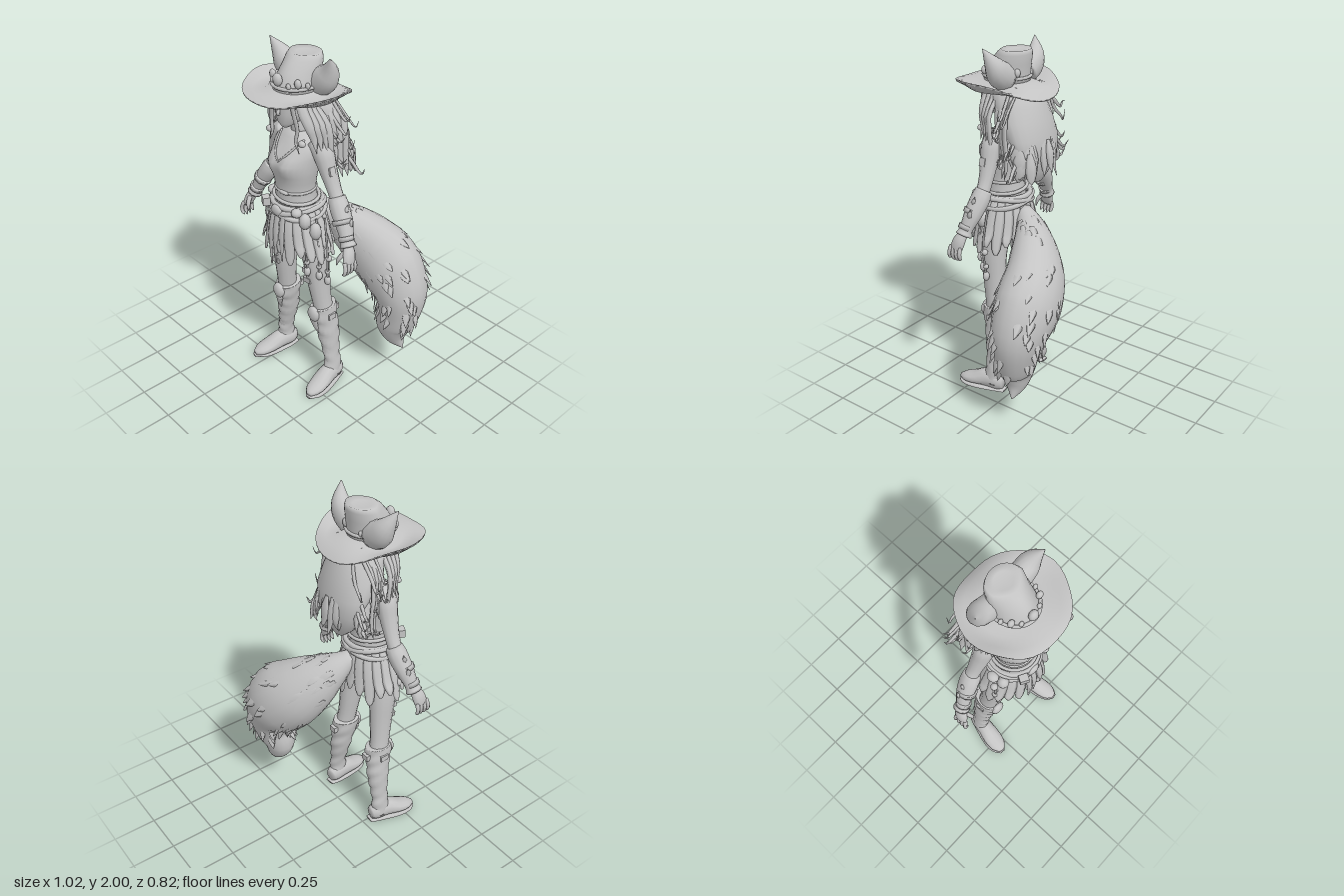
import * as THREE from 'three';
import { mergeGeometries } from 'three/addons/utils/BufferGeometryUtils.js';

const V = (x, y, z) => new THREE.Vector3(x, y, z);
const CX = -0.065; // body mid-line

export function createModel() {
  const root = new THREE.Group();
  const grey = new THREE.MeshStandardMaterial({ color: 0xc4c4c4, side: THREE.DoubleSide });
  grey.name = 'plain grey';
  let seed = 11;
  const rnd = (a = 0, b = 1) => {
    seed = (seed * 16807) % 2147483647;
    return a + (b - a) * (seed / 2147483647);
  };
  const add = (name, geos) => {
    const list = [].concat(geos).map((g) => { const c = g.index ? g.toNonIndexed() : g; c.deleteAttribute('uv'); return c; });
    const m = new THREE.Mesh(mergeGeometries(list), grey);
    m.name = name;
    root.add(m);
  };

  // skin a stack of closed rings, with end caps if wanted
  const skin = (rings, caps = true) => {
    const n = rings[0].length, pos = [], idx = [];
    rings.forEach((r) => r.forEach((p) => pos.push(p.x, p.y, p.z)));
    for (let i = 0; i < rings.length - 1; i++) for (let j = 0; j < n; j++) {
      const a = i * n + j, b = i * n + (j + 1) % n;
      idx.push(a, a + n, b, b, a + n, b + n);
    }
    if (caps) [0, rings.length - 1].forEach((k) => {
      const c = rings[k].reduce((s, p) => s.add(p), V(0, 0, 0)).divideScalar(n), ci = pos.length / 3;
      pos.push(c.x, c.y, c.z);
      for (let j = 0; j < n; j++) {
        const a = k * n + j, b = k * n + (j + 1) % n;
        if (k) idx.push(a, ci, b); else idx.push(a, b, ci);
      }
    });
    const g = new THREE.BufferGeometry();
    g.setAttribute('position', new THREE.Float32BufferAttribute(pos, 3));
    g.setIndex(idx);
    g.computeVertexNormals();
    return g;
  };
  // frames along a path; rows are [x, y, z, width radius, depth radius]
  const frames = (rows, n, ref) => {
    const path = new THREE.CatmullRomCurve3(rows.map((r) => V(r[0], r[1], r[2])));
    const rad = new THREE.CatmullRomCurve3(rows.map((r) => V(r[3], r[4] ?? r[3], 0)), false, 'catmullrom');
    return Array.from({ length: n + 1 }, (_, i) => {
      const p = path.getPoint(i / n), T = path.getTangent(i / n), r = rad.getPoint(i / n);
      const N = ref.clone().cross(T).normalize(), B = N.clone().cross(T);
      const at = (a, k = 1) => p.clone().addScaledVector(N, Math.cos(a) * Math.max(r.x, 0.001) * k)
        .addScaledVector(B, Math.sin(a) * Math.max(r.y, 0.001) * k);
      return { p, T, at };
    });
  };
  const tube = (rows, { n = 10, sides = 10, ref = V(0, 0, 1) } = {}) =>
    skin(frames(rows, n, ref).map((f) => Array.from({ length: sides }, (_, j) => f.at(j / sides * Math.PI * 2))));
  // upright loft; rows are [y, z, x radius, z radius] from the bottom up
  const loft = (rows, sides = 20) => skin(rows.map(([y, z, rx, rz]) =>
    Array.from({ length: sides }, (_, j) => {
      const a = j / sides * Math.PI * 2;
      return V(CX + Math.cos(a) * rx, y, z + Math.sin(a) * rz);
    })));
  // move the vertices of a geometry by a rule
  const warp = (g, rule) => {
    const p = g.attributes.position, v = V(0, 0, 0);
    for (let i = 0; i < p.count; i++) { v.fromBufferAttribute(p, i); rule(v); p.setXYZ(i, v.x, v.y, v.z); }
    g.computeVertexNormals();
    return g;
  };
  const ball = (x, y, z, rx, ry = rx, rz = rx) => new THREE.SphereGeometry(1, 10, 8).scale(rx, ry, rz).translate(x, y, z);
  const box = (x, y, z, w, h, d, ry = 0, rz = 0) => new THREE.BoxGeometry(w, h, d).rotateZ(rz).rotateY(ry).translate(x, y, z);
  const hoop = (y, z, rx, rz, t, tiltX = 0, tiltZ = 0) => new THREE.TorusGeometry(1, t / rx, 6, 28)
    .rotateX(Math.PI / 2).scale(rx, rx, rz).rotateX(tiltX).rotateZ(tiltZ).translate(CX, y, z);

  // torso with a soft bust, neck and bodice trim
  add('torso', warp(loft([[1.08, .175, .12, .115], [1.17, .175, .115, .112], [1.22, .178, .11, .108], [1.27, .18, .112, .106], [1.31, .18, .12, .108],
    [1.35, .18, .13, .112], [1.385, .178, .136, .115], [1.42, .172, .14, .116], [1.455, .162, .145, .112], [1.49, .152, .15, .104], [1.52, .143, .142, .094], [1.545, .14, .115, .078], [1.57, .14, .06, .056]], 32), (v) => {
    if (v.z > .17) v.z += .034 * Math.exp(-(((Math.abs(v.x - CX) - .055) / .055) ** 2) - ((v.y - 1.415) / .06) ** 2);
  }));
  add('neck', loft([[1.53, .14, .055, .05], [1.58, .15, .04, .042], [1.66, .17, .042, .045]], 14));
  add('neckline', [-1, 1].map((s) => tube([[CX + s * .088, 1.55, .19, .006], [CX + s * .06, 1.5, .25, .006], [CX + s * .035, 1.465, .28, .006], [CX, 1.43, .297, .005]], { sides: 6 })));
  add('bodiceHem', hoop(1.255, .18, .11, .105, .009));

  // head and face
  add('head', loft([[1.612, .235, .022, .022], [1.64, .215, .058, .06], [1.69, .19, .083, .088], [1.75, .18, .093, .098], [1.83, .17, .09, .1]], 18));
  add('nose', tube([[CX, 1.73, .272, .006], [CX, 1.705, .28, .009], [CX, 1.692, .284, .01], [CX, 1.684, .27, .004]], { sides: 6 }));
  add('lips', [ball(CX, 1.664, .266, .022, .006, .008), ball(CX, 1.655, .264, .017, .006, .008)]);
  add('eyes', [-1, 1].map((s) => ball(CX + s * .038, 1.73, .258, .018, .009, .008)));
  add('brows', [-1, 1].map((s) => box(CX + s * .04, 1.75, .264, .04, .007, .008, s * .35, s * .2)));

  // hat: brim with raised sides and dropped back, pinched crown, beaded band
  const brim = (k, dy) => Array.from({ length: 40 }, (_, j) => {
    const a = j / 40 * Math.PI * 2, c = Math.cos(a), s = Math.sin(a), r = .11 + (.162 + .004 * Math.cos(6 * a)) * k;
    const edge = c * c * .025 + (s > 0 ? -.012 : -.065) * s * s;
    const sag = -.035 * Math.sin(k * Math.PI) * c * c;
    return V(CX + c * r, 1.805 + edge * k * k + sag + dy, .155 + s * (r - .005));
  });
  add('hatBrim', skin([[0, -.012], [.35, -.012], [.7, -.012], [1, -.01], [1.01, 0], [.7, .004], [.35, .004], [0, .004]].map(([k, d]) => brim(k, d)), false));
  add('hatCrown', warp(loft([[1.78, .16, .118, .13], [1.84, .155, .115, .125], [1.9, .135, .112, .113], [1.95, .112, .106, .094],
    [1.973, .098, .09, .076], [1.966, .098, .05, .045]], 28), (v) => {
    const k = Math.max(0, (v.z - .12) / .15) * Math.max(0, (v.y - 1.82) / .15);
    v.x = CX + (v.x - CX) * (1 - .45 * Math.min(1, k * 1.6));
  }));
  add('hatBand', hoop(1.83, .157, .118, .13, .009));
  add('hatBeads', [-75, -52, -30, 0, 30, 52, 75, 150, 210].map((d, i) => {
    const a = d * Math.PI / 180, r = d === 0 ? .028 : i % 2 ? .02 : .014;
    return ball(CX + Math.sin(a) * .12, d === 0 ? 1.87 : 1.845 + .015 * (i % 2), .155 + Math.cos(a) * .125, r, r * 1.2, r * .8);
  }));
  add('ears', [-1, 1].map((s) => tube([[CX + s * .08, 1.83, .1, .07, .06], [CX + s * .14, 1.865, .1, .073, .06],
    [CX + s * .18, 1.915, .105, .05, .048], [CX + s * .222, 2.0, .14, .002]], { sides: 14 })));

  // hair: back mass, broad layered locks, wavy side locks and fringe
  add('hairMass', loft([[1.28, -.04, .04, .02], [1.35, -.045, .12, .05], [1.44, -.035, .165, .078], [1.53, -.01, .182, .098],
    [1.62, .035, .178, .12], [1.7, .075, .16, .135], [1.79, .12, .12, .14]], 24));
  const locks = [];
  for (let i = 0; i < 48; i++) {
    const a = rnd(-1.5, 1.5), y0 = rnd(1.47, 1.7), len = rnd(.17, .24), w = rnd(.022, .036);
    const r = .158 + (1.77 - y0) * .1, zc = .1 - (1.77 - y0) * .42;
    const at = (k, y, rr) => [CX + Math.sin(a) * (r + k), Math.max(y, 1.25 + .07 * Math.abs(a)), zc - k * 1.2 - Math.cos(a) * (r * .7 + k * .2), w * rr, w * rr * .35];
    locks.push(tube([at(-.015, y0, .4), at(-.004, y0 - len * .4, 1), at(0, y0 - len * .75, .7), at(rnd(-.015, .012), y0 - len, .03)],
      { n: 7, sides: 6, ref: V(-Math.sin(a), 0, Math.cos(a)) }));
  }
  add('hairLocks', locks);
  const waves = [];
  for (const s of [-1, 1]) {
    // broad locks that spread from under the brim to the shoulders
    for (let i = 0; i < 8; i++) {
      const z = .215 - i * .026, o = .165 + .012 * (i % 4), e = 1.56 - .03 * i + .03 * (i % 3);
      waves.push(tube([[CX + s * .085, 1.79, z, .022, .012], [CX + s * .115, 1.72, z + .008, .028, .014], [CX + s * (o - .01), 1.64, z - .004, .026, .013],
        [CX + s * o, e + .02, z - .02, .018, .01], [CX + s * (o + .02), e - .05, z - .02, .001]], { n: 10, sides: 7, ref: V(s, 0, .8) }));
    }
    // thin flyaway curls
    for (let i = 0; i < 13; i++) {
      const y = 1.74 - i * .026, z = rnd(-.04, .12), out = rnd(.21, .28), w = rnd(.007, .012);
      waves.push(tube([[CX + s * .11, y + .04, z, w], [CX + s * (out - .07), y - .04, z - .01, w], [CX + s * (out - .02), y - .09, z - .02, w * .7],
        [CX + s * out, y - .09 + rnd(-.03, .03), z - .02, w * .4], [CX + s * (out + rnd(-.01, .015)), y - .06, z - .03, .001]], { n: 10, sides: 5, ref: V(0, .2, 1) }));
    }
    // slim lock beside the face
    waves.push(tube([[CX + s * .075, 1.79, .26, .014, .008], [CX + s * .085, 1.71, .255, .017, .009], [CX + s * .1, 1.62, .245, .014, .008],
      [CX + s * .09, 1.56, .25, .009], [CX + s * .115, 1.5, .25, .001]], { sides: 6 }));
  }
  add('sideWaves', waves);
  add('fringe', [-3, -2, -1, 0, 1, 2, 3].map((i) => tube([[CX + i * .018, 1.81, .255, .017, .008],
    [CX + i * .023, 1.78, .28 - i * i * .003, .017, .007], [CX + i * .027 + .012, 1.75 - .006 * Math.abs(i), .278 - i * i * .0035, .001]], { sides: 6 })));
  add('hairBeads', [-1, 1].flatMap((s) => [ball(CX + s * .125, 1.555, .24, .022, .018, .018), ball(CX + s * .16, 1.62, .16, .014)]));

  // arms, bracers and hands
  for (const s of [-1, 1]) {
    const side = s > 0 ? 'left' : 'right', X = (d) => CX + s * d;
    add(side + 'Arm', tube([[X(.11), 1.535, .14, .045, .05], [X(.16), 1.5, .135, .055, .058], [X(.195), 1.41, .13, .046, .05], [X(.235), 1.31, .125, .036, .04],
      [X(.265), 1.25, .125, .036, .038], [X(.32), 1.16, .135, .036, .04], [X(.385), 1.04, .16, .022, .026]], { n: 20, sides: 12 }));
    add(side + 'Bracer', [tube([[X(.255), 1.265, .122, .042, .046], [X(.28), 1.22, .128, .05, .054], [X(.33), 1.145, .14, .045, .049],
      [X(.37), 1.07, .155, .033, .037], [X(.385), 1.04, .16, .043, .046]], { n: 14, sides: 12 }),
    ...[[.315, 1.165, .052], [.36, 1.09, .042]].map(([d, y, r]) => tube([[X(d), y, .13 + (d - .26) * .27, r], [X(d + .012), y - .022, .134 + (d - .26) * .27, r * .97]], { n: 2, sides: 12 })),
    ...[0, 1].map((i) => tube([[X(.3 + i * .035), 1.2 - i * .06, .13, .03, .022], [X(.33 + i * .035), 1.215 - i * .06, .13, .018, .016], [X(.335 + i * .035), 1.25 - i * .06, .12, .001]], { n: 4, sides: 6 }))]);
    add(side + 'Hand', [tube([[X(.383), 1.05, .16, .022, .026], [X(.405), 1.01, .175, .024, .038], [X(.418), .97, .185, .018, .038], [X(.422), .955, .188, .01, .03]], { sides: 10 }),
      ...[0, 1, 2, 3].map((i) => tube([[X(.418), .98, .158 + i * .02, .012], [X(.432), .945, .155 + i * .023, .011],
        [X(.425), .915, .157 + i * .023, .01], [X(.41), .89 + Math.abs(i - 1.6) * .01, .16 + i * .022, .003]], { n: 6, sides: 6 })),
      tube([[X(.39), 1.02, .195, .013], [X(.375), .985, .22, .012], [X(.365), .945, .225, .003]], { n: 6, sides: 6 })]);

    // legs, slouched boots and thigh plates
    add(side + 'Leg', tube([[X(.07), 1.1, .17, .07, .1], [X(.105), .97, .165, .078, .095], [X(.13), .85, .16, .066, .08], [X(.14), .7, .15, .057, .068],
      [X(.153), .55, .135, .05, .058], [X(.17), .4, .115, .05, .06], [X(.21), .14, .11, .034, .045]], { n: 22, sides: 14 }));
    add(side + 'Boot', warp(tube([[X(.152), .525, .128, .062, .082], [X(.156), .48, .126, .062, .084], [X(.165), .42, .118, .058, .074], [X(.178), .33, .11, .055, .067],
      [X(.2), .2, .108, .041, .052], [X(.21), .13, .108, .04, .053], [X(.212), .05, .11, .045, .06]], { n: 36, sides: 16 }), (v) => {
      v.z += .004 * Math.sin(v.y * 75 + v.x * 40);
    }));
    add(side + 'KneePlate', [ball(X(.152), .49, .2, .043, .048, .025), tube([[X(.15), .45, .2, .032, .013], [X(.16), .4, .19, .02, .011], [X(.17), .34, .172, .002]], { sides: 6 })]);
    add(side + 'BootBuckle', [box(X(.155), .475, .04, .045, .035, .025), box(X(.215), .47, .12, .02, .035, .05)]);
    add(side + 'Foot', [tube([[X(.2), .055, .045, .03, .04], [X(.205), .06, .075, .045, .055], [X(.215), .064, .15, .05, .058], [X(.23), .045, .23, .056, .038], [X(.24), .034, .29, .046, .026], [X(.247), .026, .326, .018, .014]],
      { n: 14, sides: 12, ref: V(0, 1, 0) }),
    tube([[X(.2), .008, .038, .03, .008], [X(.207), .008, .1, .046, .008], [X(.23), .008, .22, .06, .008], [X(.242), .008, .29, .05, .008], [X(.248), .008, .332, .018, .008]], { n: 12, sides: 10, ref: V(0, 1, 0) })]);
    add(side + 'ThighPlates', [.78, .72].map((y, i) => box(X(.135 - s * .01), y, .222 - i * .006, .055, .03, .02, 0, i ? .12 : -.12)));
  }
  add('armPlate', box(CX + .235, 1.41, .14, .02, .045, .035, 0, .25));

  // skirt of hanging leather strips over a short lining
  add('skirtLining', loft([[.93, .175, .165, .135], [1.04, .17, .148, .13], [1.15, .17, .122, .12]], 20));
  const strips = [];
  for (let i = 0; i < 20; i++) {
    const a = (i + .5) / 20 * Math.PI * 2, c = Math.cos(a), s = Math.sin(a), end = (i % 3 === 0 ? .86 : .9) + rnd(-.015, .015);
    const at = (y, rx, rz, w, d = .007) => [CX + c * rx, y, .17 + s * rz, w, d];
    strips.push(tube([at(1.16, .125, .12, .022), at(1.08, .16, .143, .028, .009), at(.98, .194, .155, .03), at(end + .03, .217, .163, .024), at(end, .224, .166, .01)], { n: 8, sides: 6, ref: V(c, 0, s) }));
  }
  add('skirtStrips', strips);
  add('frontStraps', [-.03, .0, .04].map((d, i) => tube([[CX + d, 1.15, .305, .019, .008], [CX + d * 1.2, 1, .33, .022, .008], [CX + d * 1.3, .8 + i * .03, .33, .004]], { sides: 6 })));

  // crossed belts, buckle, pouches and dangling charms
  add('belts', [hoop(1.17, .17, .136, .133, .016), hoop(1.14, .17, .15, .145, .014, .05, .2), hoop(1.14, .17, .15, .145, .014, .05, -.2), hoop(1.205, .175, .122, .12, .01, 0, -.1)]);
  add('buckle', [ball(CX, 1.15, .315, .04, .032, .018), ball(CX + .02, 1.255, .282, .04, .012, .014)]);
  add('pouches', [ball(CX - .15, 1.11, .24, .033, .04, .033), ball(CX - .175, 1.16, .19, .03, .025, .035), ball(CX + .15, 1.12, .25, .033, .045, .033),
    ball(CX + .175, 1.05, .2, .033, .05, .033), ball(CX + .12, 1.17, .28, .03, .025, .03), box(CX - .08, 1.18, .32, .05, .045, .04, -.5)]);
  add('charms', [[.15, .24, .8], [.19, .19, .77], [.215, .15, .73], [-.19, .22, .95]].flatMap(([d, z, y], i) => [
    tube([[CX + d * .9, 1.12, z, .006], [CX + d * 1.05, (1.1 + y) / 2, z + .01, .006], [CX + d, y, z, .006]], { sides: 5 }),
    ball(CX + d, y, z, .02, .028, .018), ball(CX + d, y + .06, z, .015), ball(CX + d * 1.04, y + .15, z, .012 + .003 * i)]));

  // bushy tail with flat tufts and a smooth, hooked tip
  const tailRows = [[-.065, 1.09, .05, .04, .04], [-.02, 1.02, -.03, .09, .08], [.05, .93, -.11, .15, .12], [.15, .82, -.185, .195, .155], [.26, .72, -.22, .205, .17],
    [.345, .59, -.225, .165, .15], [.355, .45, -.215, .125, .115], [.33, .35, -.2, .11, .09], [.35, .265, -.205, .065, .058], [.4, .2, -.215, .002, .002]];
  add('tail', tube(tailRows, { n: 36, sides: 20 }));
  const tf = frames(tailRows, 60, V(0, 0, 1)), tufts = [];
  for (let i = 7; i < 43; i++) for (let j = 0; j < 3; j++) {
    const f = tf[i], a = (j + rnd(0, .9)) / 3 * Math.PI * 2 + i * .7, p = f.at(a, .96), out = p.clone().sub(f.p).normalize();
    const len = rnd(.055, .09), w = rnd(.016, .028);
    const at = (k, o, r) => { const q = p.clone().addScaledVector(f.T, k * len).addScaledVector(out, o); return [q.x, q.y, q.z, r, r * .3]; };
    tufts.push(tube([at(-.4, -.006, w * .5), at(.3, .003, w), at(1, .016, .001)], { n: 4, sides: 5, ref: out }));
  }
  add('tailTufts', tufts);
  return root;
}
